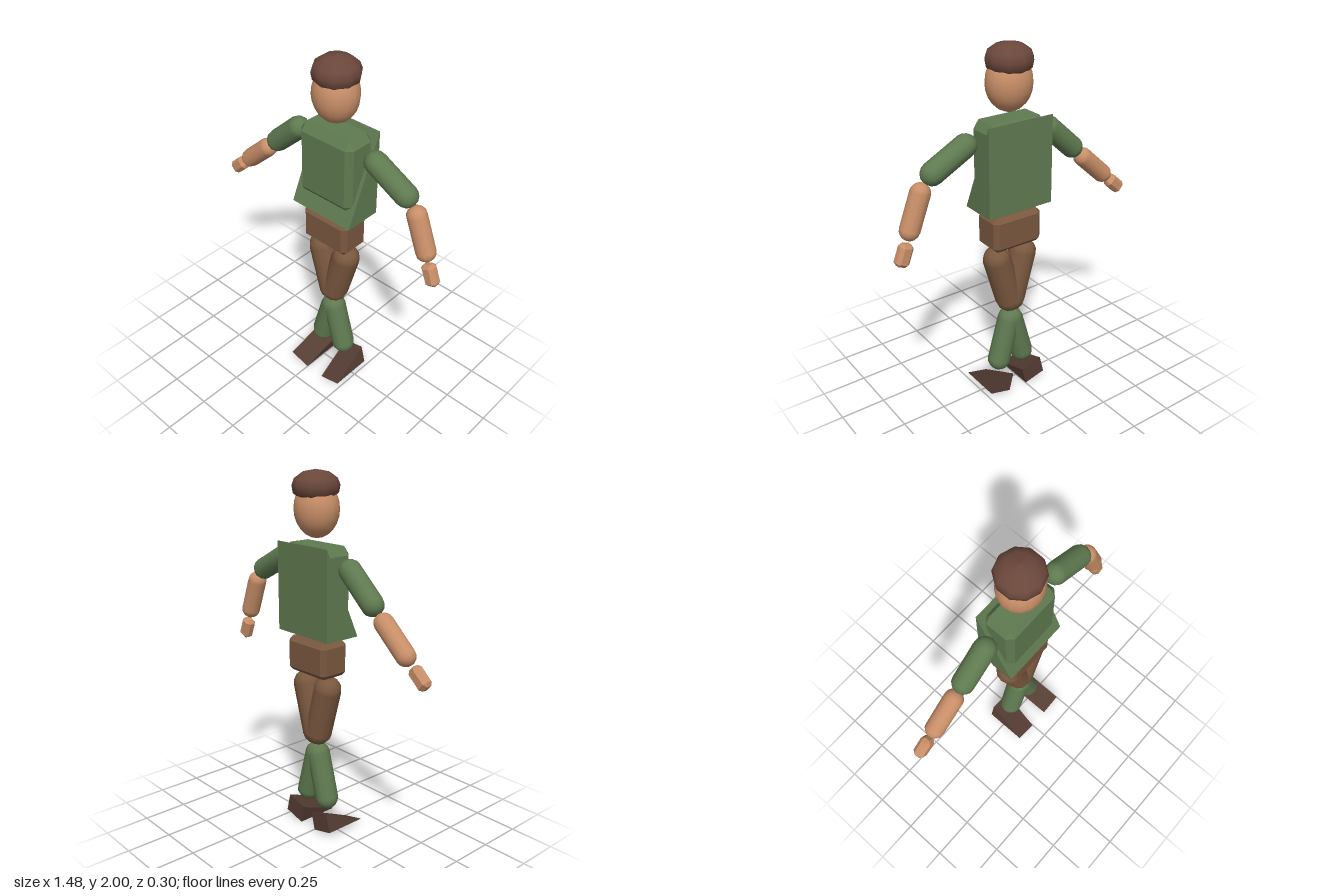
import * as THREE from 'three';
import { ConvexGeometry } from 'three/addons/geometries/ConvexGeometry.js';

const mat = (color, flatShading = false) => new THREE.MeshStandardMaterial({ color, flatShading });
const green = mat(0x5f7a50), greenFlat = mat(0x5f7a50, true);
const skin = mat(0xc98f68), skinFlat = mat(0xc98f68, true);
const trousers = mat(0x7a583f), trousersFlat = mat(0x7a583f, true);
const capBrown = mat(0x6b473b), shoe = mat(0x553d33, true);

const CX = 0.057;  // body axis
const CZ = -0.022; // body depth centre

// Box with every edge cut off by a bevel
function bevelBox(w, h, d, bx, by = bx, bz = bx) {
  const pts = [];
  for (const sx of [-1, 1]) for (const sy of [-1, 1]) for (const sz of [-1, 1]) {
    const x = w / 2, y = h / 2, z = d / 2;
    pts.push(
      new THREE.Vector3(sx * x, sy * (y - by), sz * (z - bz)),
      new THREE.Vector3(sx * (x - bx), sy * y, sz * (z - bz)),
      new THREE.Vector3(sx * (x - bx), sy * (y - by), sz * z));
  }
  return new ConvexGeometry(pts);
}

// Right-angled wedge: tall at the back, sloping down to a front edge
function wedge(w, h, d) {
  const s = new THREE.Shape([
    new THREE.Vector2(-d / 2, -h / 2), new THREE.Vector2(d / 2, -h / 2), new THREE.Vector2(d / 2, h / 2)]);
  const g = new THREE.ExtrudeGeometry(s, { depth: w, bevelEnabled: false });
  return g.translate(0, 0, -w / 2).rotateY(Math.PI / 2);
}

export function createModel() {
  const model = new THREE.Group();
  model.name = 'figure';

  function add(name, geometry, material, x, y, z = CZ, roll = 0) {
    const m = new THREE.Mesh(geometry, material);
    m.name = name;
    m.position.set(x, y, z);
    m.rotation.z = roll;
    model.add(m);
    return m;
  }

  // Capsule between two joint centres in the front plane
  function limb(name, material, r, [x1, y1], [x2, y2]) {
    const len = Math.hypot(x2 - x1, y2 - y1);
    add(name, new THREE.CapsuleGeometry(r, len, 4, 12), material,
      (x1 + x2) / 2, (y1 + y2) / 2, CZ, Math.atan2(x1 - x2, y2 - y1));
  }

  // Head and cap
  add('head', new THREE.SphereGeometry(1, 16, 12).scale(0.125, 0.15, 0.115), skin, CX, 1.802);
  const capProfile = [[0, 1.862], [0.1, 1.865], [0.118, 1.882], [0.125, 1.92], [0.112, 1.955], [0.068, 1.987], [0, 2]]
    .map(([x, y]) => new THREE.Vector2(x, y));
  add('cap', new THREE.LatheGeometry(capProfile, 10), capBrown, CX, 0, -0.026);

  // Torso, sloping back panel and hips
  add('chest', bevelBox(0.35, 0.42, 0.185, 0.032, 0.045, 0.032), greenFlat, CX, 1.412);
  add('jacketBack', wedge(0.392, 0.484, 0.215), greenFlat, CX, 1.385, -0.018);
  add('hips', bevelBox(0.3, 0.196, 0.182, 0.025), trousersFlat, CX, 1.018);

  // Arms: shoulder, elbow, then forearm ends and hand centre
  const arms = [
    { side: 'right', upper: [[-0.198, 1.516], [-0.357, 1.373]], fore: [[-0.439, 1.296], [-0.587, 1.164]], hand: [-0.683, 1.077] },
    { side: 'left', upper: [[0.32, 1.527], [0.511, 1.426]], fore: [[0.582, 1.344], [0.651, 1.164]], hand: [0.693, 1.042] },
  ];
  for (const { side, upper, fore, hand } of arms) {
    limb(side + 'UpperArm', green, 0.061, ...upper);
    limb(side + 'Forearm', skin, 0.053, ...fore);
    const roll = Math.atan2(fore[1][0] - fore[0][0], fore[0][1] - fore[1][1]);
    add(side + 'Hand', bevelBox(0.075, 0.122, 0.064, 0.018), skinFlat, hand[0], hand[1], CZ, roll);
  }

  // Legs, mirrored about the body axis
  for (const s of [-1, 1]) {
    const side = s < 0 ? 'right' : 'left';
    limb(side + 'Thigh', trousers, 0.077, [CX + s * 0.084, 0.839], [CX + s * 0.008, 0.574]);
    limb(side + 'Shin', green, 0.065, [CX + s * 0.008, 0.439], [CX + s * 0.078, 0.19]);
    add(side + 'Shoe', wedge(0.131, 0.109, 0.244), shoe, CX + s * 0.109, 0.07, 0.024, s * 0.244);
  }
  return model;
}
